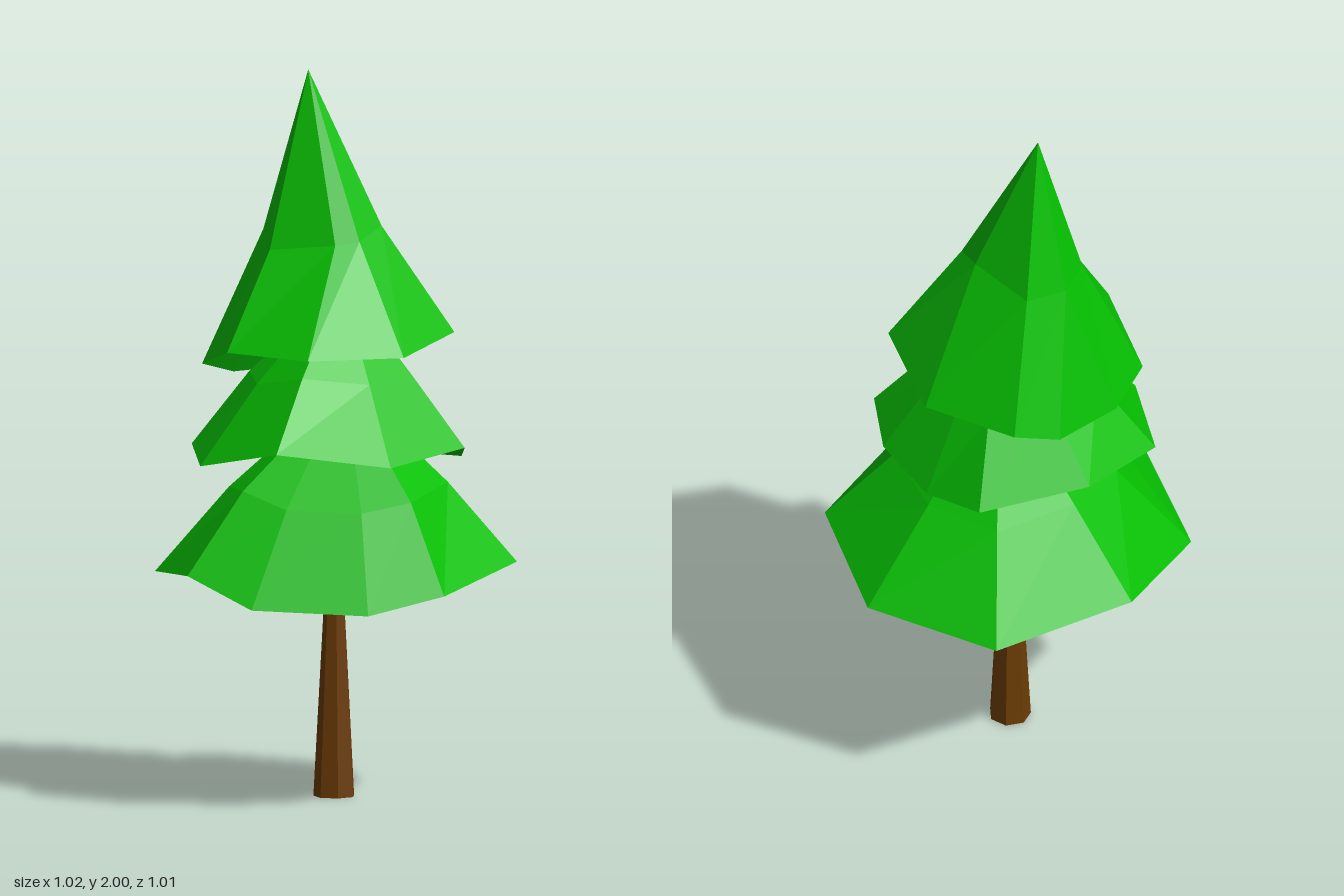
import * as THREE from 'three';

const green = new THREE.MeshStandardMaterial({ color: 0x06bf02, flatShading: true });
const brown = new THREE.MeshStandardMaterial({ color: 0x6b3c04, flatShading: true });

const lerp = (a, b, t) => a.map((v, i) => v + (b[i] - v) * t);

// Skins consecutive rings of equal length, listed from the underside up; a pole is a repeated point
function loft(rings) {
  const pos = [];
  const same = (a, b) => a.every((v, i) => Math.abs(v - b[i]) < 1e-6);
  const tri = (a, b, c) => {
    if (!same(a, b) && !same(b, c) && !same(a, c)) pos.push(...a, ...b, ...c);
  };
  for (let r = 0; r < rings.length - 1; r++) {
    const lo = rings[r], hi = rings[r + 1], n = lo.length;
    for (let i = 0; i < n; i++) {
      const j = (i + 1) % n;
      tri(lo[i], hi[i], lo[j]);
      tri(lo[j], hi[i], hi[j]);
    }
  }
  const geo = new THREE.BufferGeometry();
  geo.setAttribute('position', new THREE.Float32BufferAttribute(pos, 3));
  geo.computeVertexNormals();
  return geo;
}

// One skirt of foliage: hollowed underside, ragged rim, middle ring, apex
function foliage(name, { rim, mid, apex, hollowY }) {
  const inner = rim.map(([x, , z]) => [x * 0.63, hollowY, z * 0.63]);
  const pole = (p) => rim.map(() => p);
  const mesh = new THREE.Mesh(loft([pole([0, hollowY, 0]), inner, rim, mid, pole(apex)]), green);
  mesh.name = name;
  return mesh;
}

// Middle ring on the straight slope, swollen outward per corner
const swell = (rim, apex, t, bulge) => rim.map((p, i) => {
  const [x, y, z] = lerp(p, apex, t);
  return [x * bulge[i], y, z * bulge[i]];
});

export function createModel() {
  const tree = new THREE.Group();
  tree.name = 'pineTree';

  // Tapered trunk with a green base cap
  const trunk = new THREE.Mesh(new THREE.CylinderGeometry(0.018, 0.058, 0.74, 7, 1, true), brown);
  trunk.name = 'trunk';
  trunk.rotation.y = -Math.PI / 2;
  trunk.position.set(-0.006, 0.37, 0);
  tree.add(trunk);
  const base = new THREE.Mesh(new THREE.CircleGeometry(0.058, 7), green);
  base.name = 'trunkBase';
  base.rotation.set(Math.PI / 2, 0, Math.PI);
  base.position.x = -0.006;
  tree.add(base);

  // Lower foliage
  const lowRim = [
    [0.512, 0.61, 0], [0.42, 0.56, 0.19], [0.2, 0.57, 0.425], [0.01, 0.65, 0.505],
    [-0.355, 0.61, 0.355], [-0.512, 0.67, 0], [-0.355, 0.59, -0.355],
    [0.005, 0.61, -0.508], [0.357, 0.66, -0.355],
  ];
  const lowApex = [0.015, 1.14, -0.02];
  tree.add(foliage('lowerFoliage', {
    rim: lowRim, apex: lowApex, hollowY: 0.67,
    mid: swell(lowRim, lowApex, 0.45, [1.18, 1.17, 1.17, 1.2, 1.12, 1.03, 1.05, 0.98, 1.08]),
  }));

  // Middle foliage
  const midRim = [
    [0.4, 0.96, 0.1], [0.24, 1.0, 0.37], [-0.05, 0.94, 0.42], [-0.315, 0.96, 0.26],
    [-0.37, 1.0, -0.03], [-0.21, 0.95, -0.29], [-0.02, 0.92, -0.315],
    [0.2, 0.94, -0.28], [0.335, 0.985, -0.195],
  ];
  const midApex = [0.015, 1.42, -0.01];
  tree.add(foliage('middleFoliage', {
    rim: midRim, apex: midApex, hollowY: 1.09,
    mid: swell(midRim, midApex, 0.45, [1.02, 1.12, 1.1, 1.13, 1.02, 1.03, 1.05, 1.03, 1.02]),
  }));

  // Upper foliage with the leaning tip; two left rim corners share one middle corner
  const leftMid = [-0.205, 1.55, 0.03];
  tree.add(foliage('upperFoliage', {
    rim: [
      [0.335, 1.25, 0.01], [0.24, 1.25, 0.265], [0, 1.255, 0.365], [-0.245, 1.19, 0.275],
      [-0.3, 1.15, 0.13], [-0.305, 1.15, -0.08], [-0.265, 1.2, -0.21],
      [-0.02, 1.22, -0.32], [0.23, 1.29, -0.235],
    ],
    mid: [
      [0.14, 1.55, 0.02], [0.11, 1.54, 0.08], [-0.045, 1.52, 0.19], [-0.16, 1.56, 0.13],
      leftMid, leftMid, [-0.18, 1.56, -0.09],
      [0, 1.6, -0.12], [0.09, 1.58, -0.09],
    ],
    apex: [-0.095, 2, 0.025], hollowY: 1.35,
  }));

  return tree;
}
